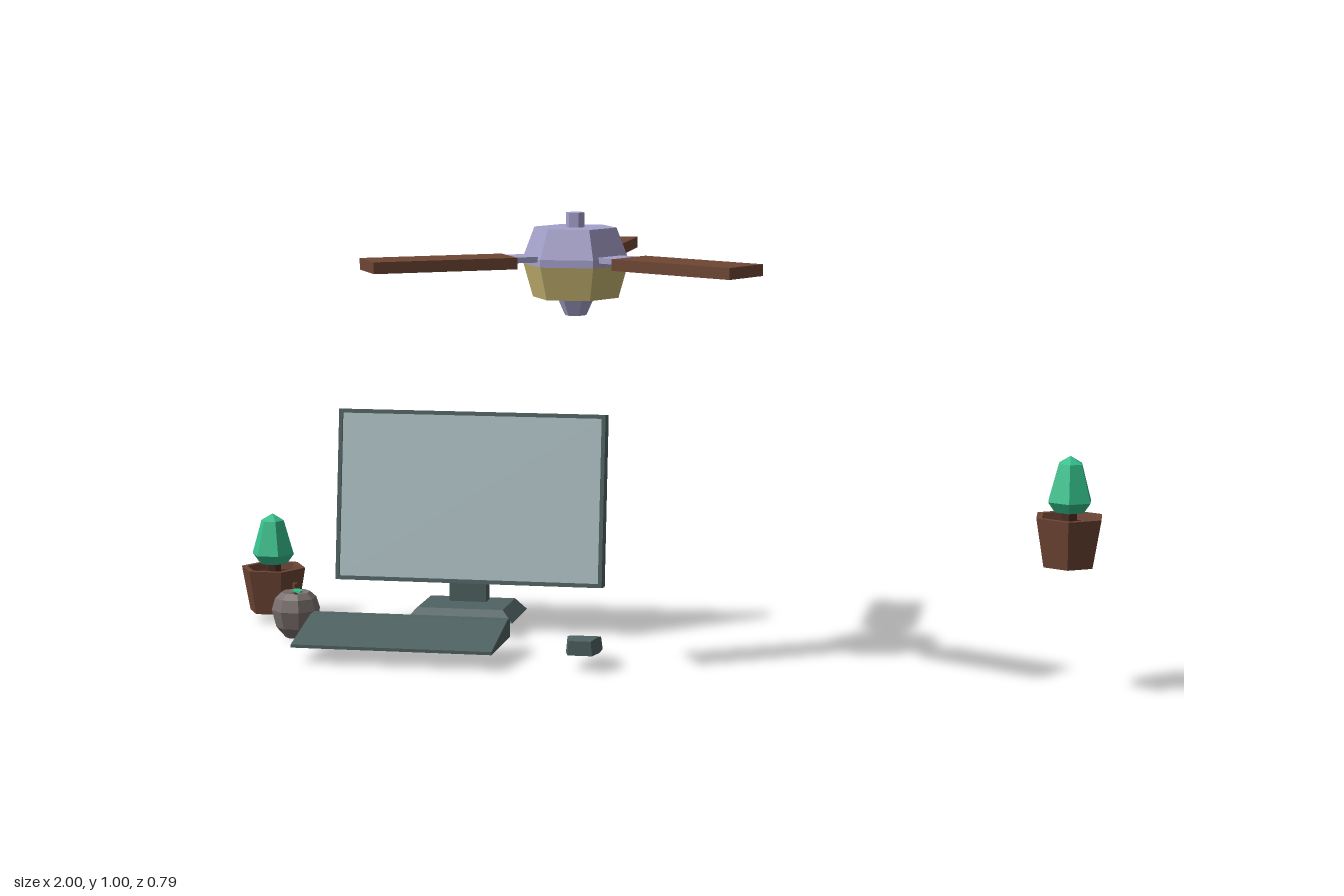
import * as THREE from 'three';

const paint = (name, color) => {
  const m = new THREE.MeshStandardMaterial({ color });
  m.name = name;
  return m;
};

export function createModel() {
  const model = new THREE.Group();
  model.name = 'deskSet';
  const slate = paint('slate', 0x4f6262);
  const glass = paint('paleGlass', 0xb0c3c8);
  const wood = paint('brown', 0x6e4634);
  const soilBrown = paint('darkSoil', 0x4a2b21);
  const green = paint('green', 0x35c08c);
  const lilac = paint('lilac', 0xa5a1cc);
  const gold = paint('gold', 0xc8b673);
  const grey = paint('warmGrey', 0x7a706e);

  // Facet the geometry, then add it as a named mesh
  const add = (parent, name, geo, mat, x = 0, y = 0, z = 0) => {
    const flat = geo.index ? geo.toNonIndexed() : geo;
    flat.computeVertexNormals();
    const mesh = new THREE.Mesh(flat, mat);
    mesh.name = name;
    mesh.position.set(x, y, z);
    parent.add(mesh);
    return mesh;
  };
  const group = (name, x, y, z, parent = model) => {
    const g = new THREE.Group();
    g.name = name;
    g.position.set(x, y, z);
    parent.add(g);
    return g;
  };
  const box = (w, h, d) => new THREE.BoxGeometry(w, h, d);
  // Profile of [radius, height], listed from bottom to top
  const turned = (pts, sides = 6) =>
    new THREE.LatheGeometry(pts.map(p => new THREE.Vector2(...p)), sides);
  // Side profile of [z, y], extruded along x about its centre
  const sideProfile = (pts, width) => {
    const shape = new THREE.Shape(pts.map(([z, y]) => new THREE.Vector2(-z, y)));
    return new THREE.ExtrudeGeometry(shape, { depth: width, bevelEnabled: false })
      .translate(0, 0, -width / 2).rotateY(Math.PI / 2);
  };

  // Potted cactuses
  const cactus = (name, x, y, z, turn) => {
    const g = group(name, x, y, z);
    g.rotation.y = turn;
    add(g, 'pot', turned([[0, 0], [0.058, 0], [0.077, 0.104], [0.063, 0.104], [0.06, 0.085]]), wood);
    add(g, 'soil', turned([[0.061, 0.088], [0, 0.088]]), soilBrown);
    add(g, 'stem', turned([[0.018, 0.085], [0.018, 0.118]]), soilBrown);
    add(g, 'cactus', turned([[0, 0.114], [0.034, 0.114], [0.05, 0.136], [0.027, 0.215], [0, 0.231]]), green);
  };
  cactus('rightPlant', 0.93, 0.274, 0.123, 0);
  cactus('leftPlant', -0.923, 0.018, -0.329, Math.PI / 6);

  // Fruit with a stalk and one leaf
  const fruit = group('fruit', -0.814, 0, -0.139);
  add(fruit, 'fruitBody', turned([[0, 0.008], [0.024, 0], [0.045, 0.025], [0.055, 0.065],
    [0.047, 0.092], [0.033, 0.105], [0.014, 0.101], [0, 0.092]], 8), grey).rotation.y = Math.PI / 8;
  add(fruit, 'stalk', new THREE.CylinderGeometry(0.007, 0.005, 0.036, 5), wood, 0, 0.107, 0);
  const leafShape = new THREE.Shape([[0, 0], [0.016, -0.011], [0.032, -0.008], [0.043, 0],
    [0.032, 0.008], [0.016, 0.011]].map(p => new THREE.Vector2(...p)));
  const leaf = add(fruit, 'leaf', new THREE.ExtrudeGeometry(leafShape, { depth: 0.004, bevelEnabled: false })
    .rotateX(-Math.PI / 2), green, 0, 0.109, 0);
  leaf.rotation.y = -Math.PI / 3;

  // Tilted monitor: back panel, bezel and screen plate
  const W = 0.625, H = 0.394, B = 0.009;
  const monitor = group('monitor', -0.4375, 0.307, -0.293);
  monitor.rotation.x = -0.14;
  add(monitor, 'backPanel', box(W, H, 0.032), slate, 0, 0, -0.004);
  const rect = (Type, w, h) => new Type([[-w, -h], [w, -h], [w, h], [-w, h]]
    .map(([x, y]) => new THREE.Vector2(x / 2, y / 2)));
  const bezel = rect(THREE.Shape, W, H);
  bezel.holes.push(rect(THREE.Path, W - 2 * B, H - 2 * B));
  add(monitor, 'bezel', new THREE.ExtrudeGeometry(bezel, { depth: 0.008, bevelEnabled: false }), slate, 0, 0, 0.012);
  add(monitor, 'screen', box(W - 2 * B, H - 2 * B, 0.004), glass, 0, 0, 0.0135);

  // Monitor stand: tapered foot and neck
  const stand = group('monitorStand', -0.449, 0, 0);
  const foot = box(0.25, 0.027, 0.164);
  const fp = foot.attributes.position;
  for (let i = 0; i < fp.count; i++) {
    if (fp.getY(i) > 0) {
      fp.setX(i, fp.getX(i) * 0.8);
      fp.setZ(i, fp.getZ(i) * 0.82);
    }
  }
  add(stand, 'foot', foot, slate, 0, 0.0485, -0.284);
  add(stand, 'neck', sideProfile([[-0.298, 0.055], [-0.333, 0.055], [-0.333, 0.2],
    [-0.31, 0.226], [-0.298, 0.226]], 0.086), slate);

  // Keyboard wedge
  add(model, 'keyboard', sideProfile([[0.122, 0.035], [-0.067, 0.035], [-0.067, 0.077],
    [-0.037, 0.077], [0.122, 0.042]], 0.45), slate, -0.525);

  // Mouse: cross-sections of [z, half width, top height], narrowing to the far end
  const sections = [[0.1, 0.027, 0.068], [0.065, 0.037, 0.071], [0.025, 0.037, 0.064], [-0.035, 0.018, 0.039]];
  const verts = [], faces = [];
  sections.forEach(([z, w, top], i) => {
    verts.push(-w, 0.036, z, w, 0.036, z, w * 0.9, top, z, -w * 0.9, top, z);
    if (i === 0) return;
    for (let k = 0; k < 4; k++) {
      const a = (i - 1) * 4 + k, b = (i - 1) * 4 + (k + 1) % 4;
      faces.push(a, a + 4, b, b, a + 4, b + 4);
    }
  });
  faces.push(0, 1, 2, 0, 2, 3, 12, 14, 13, 12, 15, 14);
  const mouse = new THREE.BufferGeometry();
  mouse.setAttribute('position', new THREE.Float32BufferAttribute(verts, 3));
  mouse.setIndex(faces);
  add(model, 'mouse', mouse, slate, -0.11);

  // Ceiling fan: six-sided hub and three blades
  const fan = group('ceilingFan', -0.112, 0, 0.123);
  const hub = group('hub', 0, 0, 0, fan);
  hub.rotation.y = Math.PI / 6;
  add(hub, 'rod', turned([[0.02, 0.955], [0.02, 0.996], [0, 0.996]]), lilac);
  add(hub, 'motorTop', turned([[0.112, 0.887], [0.112, 0.903], [0.088, 0.965], [0, 0.965]]), lilac);
  add(hub, 'motorBottom', turned([[0, 0.817], [0.092, 0.817], [0.112, 0.887]]), gold);
  add(hub, 'bottomCap', turned([[0, 0.779], [0.023, 0.779], [0.04, 0.817]]), lilac);
  for (let i = 0; i < 3; i++) {
    const arm = group('fanArm', 0, 0, 0, fan);
    arm.rotation.y = i * Math.PI * 2 / 3;
    add(arm, 'bracket', box(0.076, 0.012, 0.09), lilac, 0, 0.902, -0.11);
    add(arm, 'blade', box(0.11, 0.024, 0.308), wood, 0, 0.897, -0.3);
  }
  return model;
}
